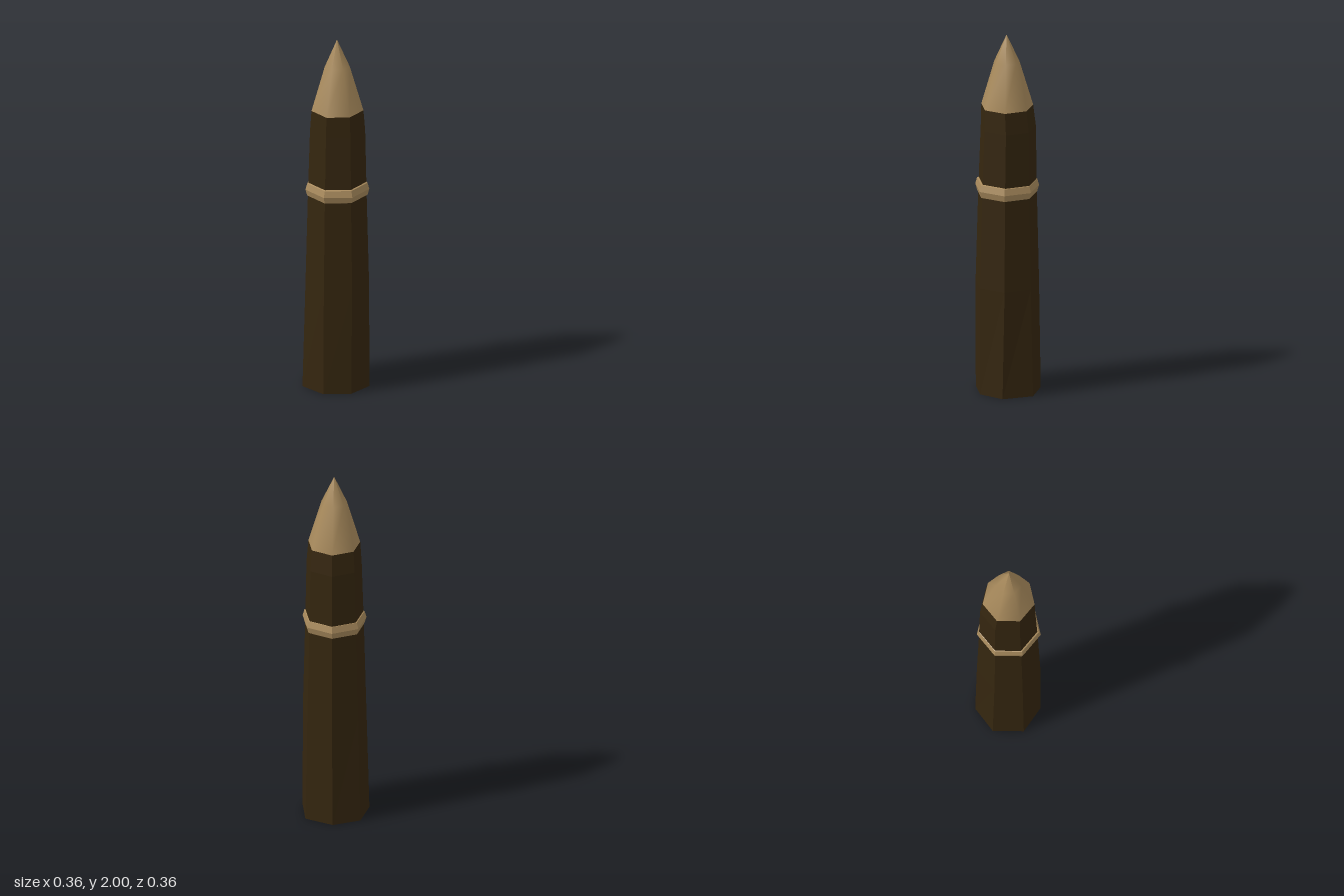
import * as THREE from 'three';

const SIDES = 7;

// Seven-sided cross-section: height, radius, centre x and z
function section(y, r, cx, cz) {
  return Array.from({ length: SIDES }, (_, i) => {
    const a = (i / SIDES) * Math.PI * 2;
    return [cx + r * Math.cos(a), y, cz - r * Math.sin(a)];
  });
}

// Skin between stacked cross-sections, with an optional cap below
function loft(sections, { capBottom = false, flat = false } = {}) {
  const index = [];
  for (let s = 0; s < sections.length - 1; s++) {
    for (let i = 0; i < SIDES; i++) {
      const j = (i + 1) % SIDES;
      const a = s * SIDES + i, b = s * SIDES + j;
      index.push(a, b, b + SIDES, a, b + SIDES, a + SIDES);
    }
  }
  if (capBottom) for (let i = 1; i < SIDES - 1; i++) index.push(0, i + 1, i);
  let geo = new THREE.BufferGeometry();
  geo.setAttribute('position', new THREE.Float32BufferAttribute(sections.flat(2), 3));
  geo.setIndex(index);
  if (flat) geo = geo.toNonIndexed();
  geo.computeVertexNormals();
  return geo;
}

export function createModel() {
  const darkWood = new THREE.MeshStandardMaterial({ color: 0x35260f });
  const paleWood = new THREE.MeshStandardMaterial({ color: 0xa88a5c });
  const group = new THREE.Group();
  group.name = 'sharpenedPost';

  const add = (name, geo, mat) => {
    const mesh = new THREE.Mesh(geo, mat);
    mesh.name = name;
    group.add(mesh);
  };

  // Slightly uneven trunk, widest at the foot
  const foot = [
    [0.18, 0.005], [0.103, -0.14], [-0.05, -0.18], [-0.181, -0.077],
    [-0.168, 0.08], [-0.05, 0.173], [0.095, 0.154],
  ].map(([x, z]) => [x, 0, z]);
  add('trunk', loft([
    foot,
    section(0.6, 0.175, -0.009, 0.007),
    section(1.1, 0.162, -0.008, 0.006),
    section(1.48, 0.152, -0.004, 0.004),
    section(1.6, 0.143, -0.008, 0.008),
  ], { capBottom: true, flat: true }), darkWood);

  // Carved point
  add('point', loft([
    section(1.6, 0.143, -0.008, 0.008),
    section(1.85, 0.069, -0.009, 0.008),
    section(2, 0.0005, -0.01, 0.008),
  ]), paleWood);

  // Binding band, bulging at mid height
  add('band', loft([
    section(1.105, 0.155, -0.009, 0.008),
    section(1.11, 0.166, -0.009, 0.008),
    section(1.145, 0.176, -0.009, 0.008),
    section(1.18, 0.166, -0.009, 0.008),
    section(1.185, 0.152, -0.009, 0.008),
  ], { flat: true }), paleWood);

  return group;
}
